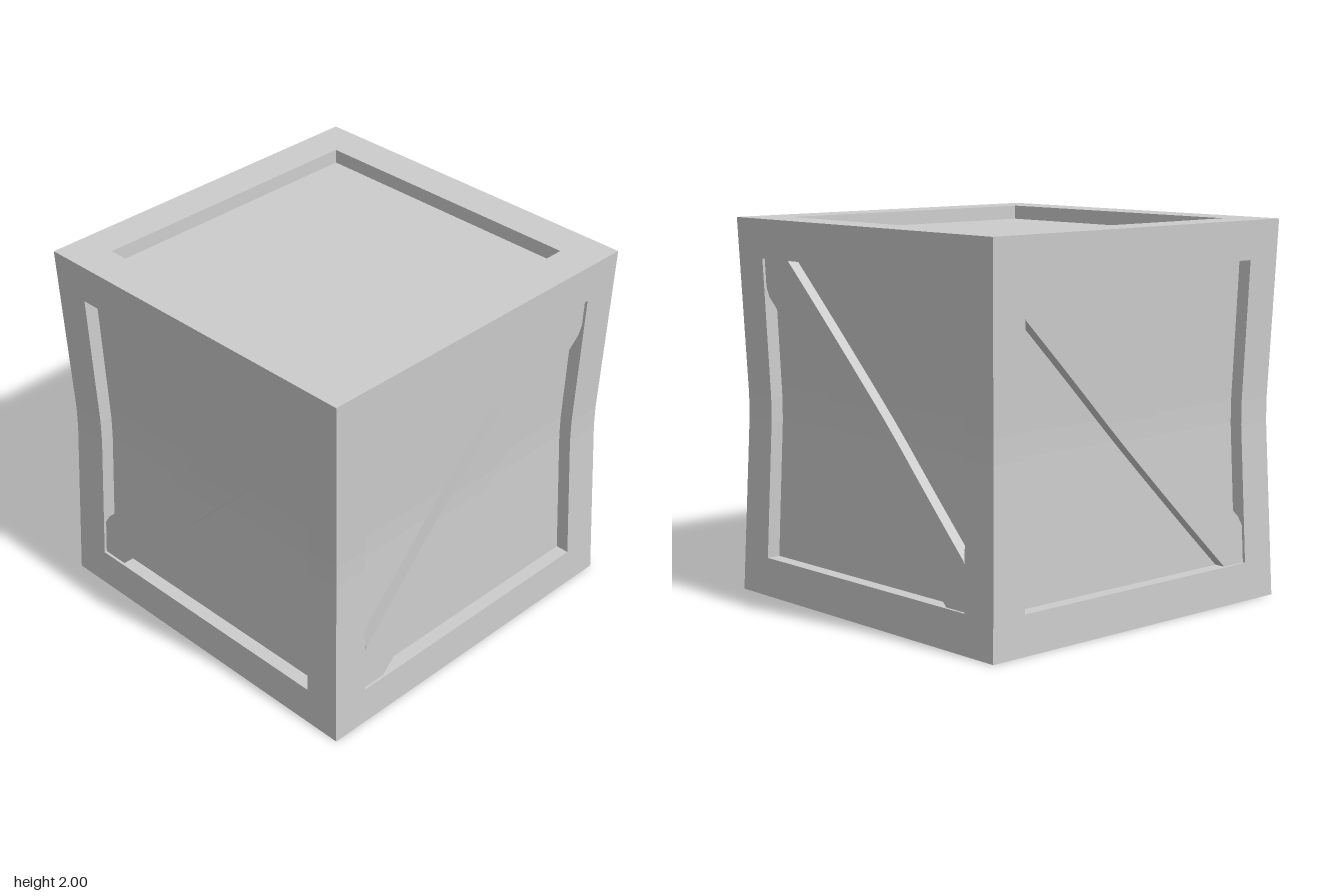
import * as THREE from 'three';

const OUT = 1;        // half size of the crate
const OPEN = 0.795;   // half size of each framed opening
const BEAM = OUT - OPEN;
const RECESS = 0.075; // how far the panels sit behind the frame
const BRACE_FACE = 0.985;

// Draws the sides in towards mid-height, then gives every facet its own normal
function pinch(geometry) {
  const p = geometry.attributes.position;
  for (let i = 0; i < p.count; i++) {
    const k = 0.965 + 0.035 * Math.max(Math.abs(p.getY(i) - 1), 0.06);
    p.setX(i, p.getX(i) * k);
    p.setZ(i, p.getZ(i) * k);
  }
  const flat = geometry.toNonIndexed();
  flat.computeVertexNormals();
  return flat;
}

// Upright slab cut diagonally: low on the left, high on the right
function braceGeometry(sign, turn) {
  const thick = 0.1;
  const g = new THREE.BoxGeometry(2, 2 * OPEN, thick, 1, 32, 1);
  g.translate(0, 1, sign * (BRACE_FACE - thick / 2));
  const p = g.attributes.position;
  for (let i = 0; i < p.count; i++) {
    const y = p.getY(i);
    const x = p.getX(i) < 0
      ? Math.max(-OPEN, -0.79 + (y - 0.43) * 1.015)
      : Math.min(OPEN, -0.64 + (y - 0.21) * 1.021);
    p.setX(i, x);
  }
  if (turn) g.rotateY(Math.PI / 2);
  return pinch(g);
}

export function createModel() {
  const crate = new THREE.Group();
  crate.name = 'crate';
  const grey = new THREE.MeshStandardMaterial({ color: 0xcccccc });
  grey.name = 'plain grey';

  const add = (name, geometry) => {
    const mesh = new THREE.Mesh(geometry, grey);
    mesh.name = name;
    crate.add(mesh);
  };
  const box = (name, w, h, d, x, y, z, rows = 1) => {
    const g = new THREE.BoxGeometry(w, h, d, 1, rows, 1).translate(x, y, z);
    add(name, pinch(g));
  };

  // Recessed panels on all six sides
  const core = 2 * (OUT - RECESS);
  box('panels', core, core, core, 0, 1, 0, 32);

  const mid = OUT - BEAM / 2;
  for (const s of [-1, 1]) {
    // Corner posts
    for (const t of [-1, 1]) box('cornerPost', BEAM, 2, BEAM, s * mid, 1, t * mid, 32);

    // Top and bottom rails
    for (const y of [BEAM / 2, 2 - BEAM / 2]) {
      box('crossRail', 2 * OPEN, BEAM, BEAM, 0, y, s * mid);
      box('sideRail', BEAM, BEAM, 2 * OPEN, s * mid, y, 0);
    }

    // Diagonal braces on the four upright sides
    add(s > 0 ? 'frontBrace' : 'backBrace', braceGeometry(s, false));
    add(s > 0 ? 'leftBrace' : 'rightBrace', braceGeometry(s, true));
  }
  return crate;
}
